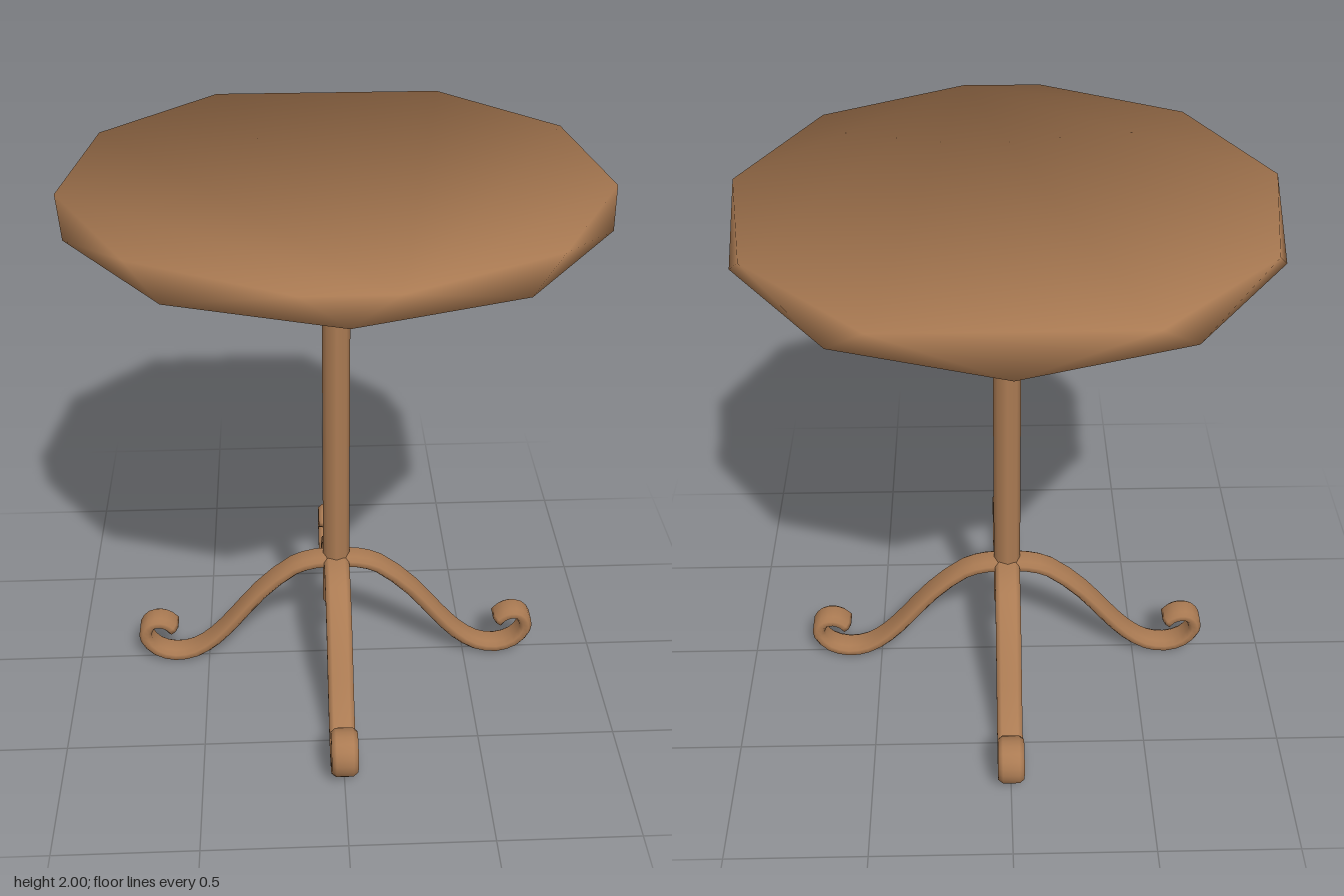
import * as THREE from 'three';

const wood = new THREE.MeshStandardMaterial({ color: 0xab7b53 });
wood.name = 'warm wood';

function indexed(positions, index) {
  const g = new THREE.BufferGeometry();
  g.setAttribute('position', new THREE.Float32BufferAttribute(positions, 3));
  g.setIndex(index);
  return g;
}

// Ten-sided slab whose upper outline is turned against the lower one;
// normals lean outward so the whole slab shades softly.
function tabletopGeometry() {
  const R = 0.895, lower = [], upper = [];
  for (let k = 0; k < 10; k++) {
    lower.push(36 * k);
    upper.push(k < 5 ? 9 + 36 * k : 27 + 36 * k);
  }
  const positions = [], normals = [], index = [];
  const addRing = (angles, y, up) => angles.forEach((deg) => {
    const a = THREE.MathUtils.degToRad(deg);
    positions.push(R * Math.sin(a), y, R * Math.cos(a));
    const n = new THREE.Vector3(1.37 * Math.sin(a), up, 1.37 * Math.cos(a)).normalize();
    normals.push(n.x, n.y, n.z);
  });
  addRing(lower, 1.905, -1);
  addRing(upper, 2, 1);

  // Rim: step around both outlines, always to the nearer next corner
  let b = 0, t = -1;
  const angleAt = (ring, i) => ring[i % 10] + 360 * Math.floor(i / 10);
  const low = (i) => i % 10, top = (i) => 10 + ((i + 10) % 10);
  for (let s = 0; s < 20; s++) {
    if (angleAt(upper, t + 1) < angleAt(lower, b + 1)) {
      index.push(top(t), low(b), top(t + 1));
      t++;
    } else {
      index.push(low(b), low(b + 1), top(t));
      b++;
    }
  }
  // Flat faces above and below
  for (let i = 1; i < 9; i++) {
    index.push(10, 10 + i, 11 + i);
    index.push(0, i + 1, i);
  }
  const g = indexed(positions, index);
  g.setAttribute('normal', new THREE.Float32BufferAttribute(normals, 3));
  return g;
}

// Octagonal post, flattened at the back toward its top
function postGeometry() {
  const g = new THREE.CylinderGeometry(0.048, 0.05, 1.67, 8);
  const p = g.attributes.position;
  for (let i = 0; i < p.count; i++) {
    if (p.getY(i) > 0) p.setZ(i, Math.max(p.getZ(i), -0.015));
  }
  g.translate(0, 1.095, 0);
  return g;
}

// Flat rounded bar swept along an S-curve that ends in a scroll
function legGeometry() {
  const path = new THREE.CatmullRomCurve3([
    [0, 0.462], [0.08, 0.457], [0.16, 0.43], [0.29, 0.315], [0.39, 0.19],
    [0.47, 0.098], [0.55, 0.04], [0.63, 0.025], [0.70, 0.051], [0.738, 0.105],
    [0.738, 0.148], [0.715, 0.18], [0.68, 0.186], [0.65, 0.173], [0.63, 0.15],
  ].map(([x, y]) => new THREE.Vector3(x, y, 0)));
  // Cross-section as [thickness, width] offsets
  const section = [
    [0.024, -0.03], [0.024, 0.03], [0.011, 0.047], [-0.011, 0.047],
    [-0.024, 0.03], [-0.024, -0.03], [-0.011, -0.047], [0.011, -0.047],
  ];
  const steps = 28, n = section.length, positions = [], index = [];
  for (let i = 0; i <= steps; i++) {
    const p = path.getPoint(i / steps), d = path.getTangent(i / steps);
    for (const [u, w] of section) positions.push(p.x - d.y * u, p.y + d.x * u, w);
    if (i === steps) break;
    for (let j = 0; j < n; j++) {
      const a = i * n + j, b = i * n + (j + 1) % n;
      index.push(a, b, a + n, b, b + n, a + n);
    }
  }
  // Close both ends
  const last = steps * n;
  for (let j = 1; j < n - 1; j++) {
    index.push(0, j + 1, j);
    index.push(last, last + j, last + j + 1);
  }
  const g = indexed(positions, index);
  g.computeVertexNormals();
  return g;
}

export function createModel() {
  const table = new THREE.Group();
  table.name = 'pedestalTable';
  const add = (name, geometry) => {
    const mesh = new THREE.Mesh(geometry, wood);
    mesh.name = name;
    table.add(mesh);
    return mesh;
  };

  add('tabletop', tabletopGeometry());
  add('post', postGeometry());

  // Four scrolled legs around the post
  const leg = legGeometry();
  ['leftLeg', 'backLeg', 'rightLeg', 'frontLeg'].forEach((name, k) => {
    add(name, leg).rotation.y = k * Math.PI / 2;
  });
  return table;
}
